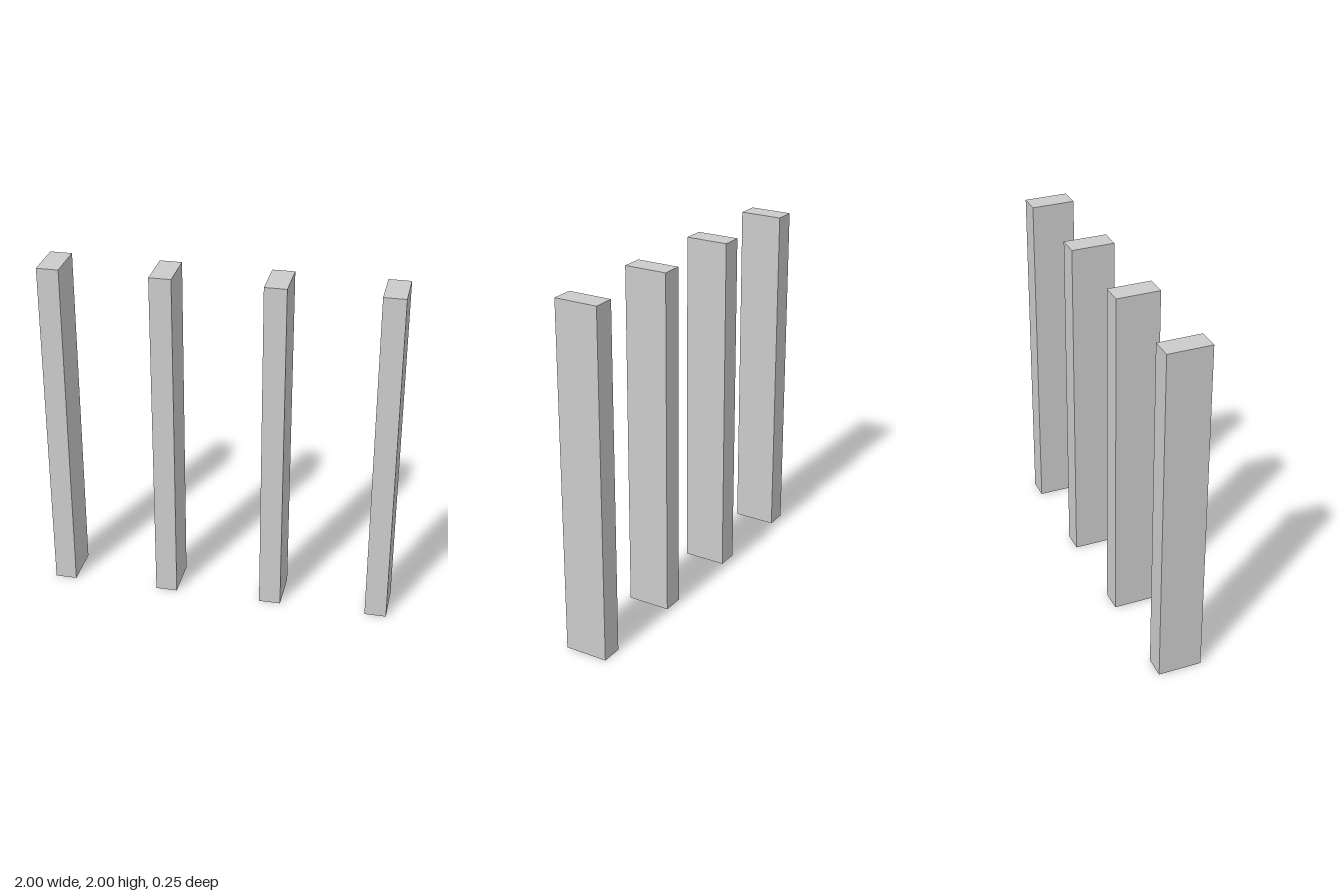
import * as THREE from 'three';

const COUNT = 4;
const WIDTH = 0.125, HEIGHT = 2, DEPTH = 0.25;
const SPACING = 0.625;

export function createModel() {
  const model = new THREE.Group();
  model.name = 'barRow';
  const material = new THREE.MeshStandardMaterial({ color: 0xcccccc, flatShading: true });
  const geometry = new THREE.BoxGeometry(WIDTH, HEIGHT, DEPTH);

  // Evenly spaced upright bars, centred on x = 0
  for (let i = 0; i < COUNT; i++) {
    const bar = new THREE.Mesh(geometry, material);
    bar.name = `verticalBar${i + 1}`;
    bar.position.set((i - (COUNT - 1) / 2) * SPACING, HEIGHT / 2, 0);
    model.add(bar);
  }
  return model;
}
